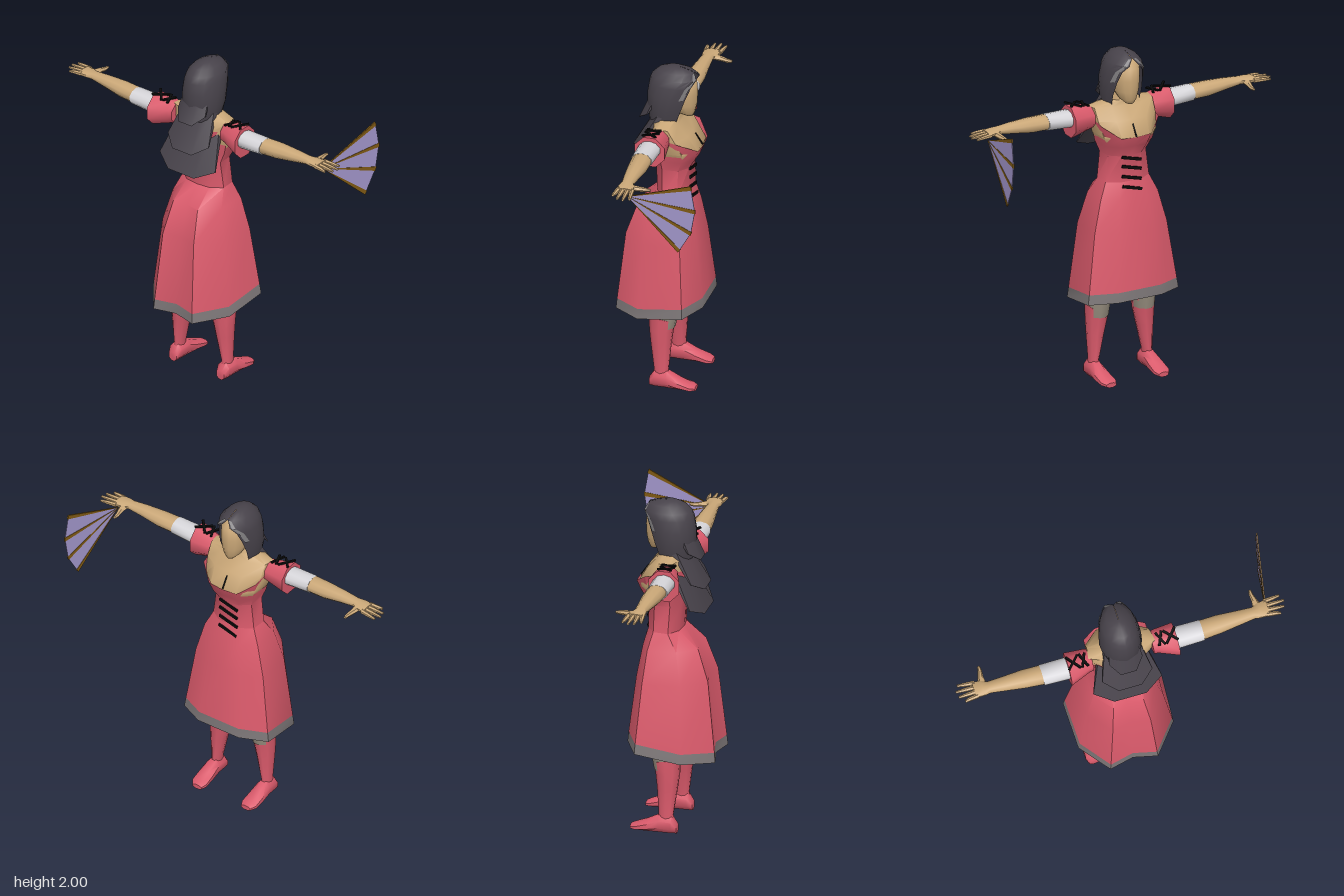
import * as THREE from 'three';
import { toCreasedNormals } from 'three/addons/utils/BufferGeometryUtils.js';

const mat = (name, color, side = THREE.FrontSide) =>
  Object.assign(new THREE.MeshStandardMaterial({ color, side }), { name });

// Skin a list of point rings; points run anticlockwise about the growth axis
function loft(rings, closed = true, crease = 0.8) {
  const n = rings[0].length, idx = [];
  for (let i = 0; i < rings.length - 1; i++)
    for (let j = 0; j < (closed ? n : n - 1); j++) {
      const k = (j + 1) % n, a = i * n + j, b = i * n + k;
      idx.push(a, b, b + n, a, b + n, a + n);
    }
  const g = new THREE.BufferGeometry();
  g.setAttribute('position', new THREE.Float32BufferAttribute(rings.flat(2), 3));
  g.setIndex(idx);
  g.computeVertexNormals();
  return toCreasedNormals(g, crease);
}

// Elliptical limb along an axis; section = [t, centreU, centreV, radiusU, radiusV]
function limb(axis, sections, sides = 10, crease = 0.9) {
  const first = sections[0], last = sections[sections.length - 1];
  const all = [[...first.slice(0, 3), 0, 0], ...sections, [...last.slice(0, 3), 0, 0]];
  return loft(all.map(([t, cu, cv, ru, rv]) => Array.from({ length: sides }, (_, j) => {
    const a = ((j + 0.5) / sides) * Math.PI * 2, k = 1 / Math.cos(Math.PI / sides);
    const u = cu + ru * k * Math.cos(a), s = rv * k * Math.sin(a);
    return axis === 'y' ? [u, t, cv - s] : axis === 'z' ? [u, cv + s, t] : [t, u, cv + s];
  })), true, crease);
}

// Reflected copy across the z = 0 plane
function mirrorZ(geo) {
  const g = geo.index ? geo.toNonIndexed() : geo.clone();
  for (const attr of [g.attributes.position, g.attributes.normal])
    for (let i = 0; i < attr.count; i += 3) {
      const v = [0, 2, 1].map(k => [attr.getX(i + k), attr.getY(i + k), -attr.getZ(i + k)]);
      v.forEach((p, k) => attr.setXYZ(i + k, ...p));
    }
  return g;
}

// Body outlines for one half, from front to back
const SKIRT = [[1, 0], [1, 0.48], [0.69, 1], [-0.35, 0.96], [-1, 0.48], [-0.88, 0]];
const BODICE = [[1, 0], [0.97, 0.5], [0.5, 0.95], [-0.4, 1], [-0.9, 0.55], [-1, 0]];
function outline(shape, y, back, front, rz, lift = () => 0) {
  const c = (front + back) / 2, r = (front - back) / 2;
  const pts = shape.map(([u, v]) => [c + u * r, -v * rz]);
  for (let i = 4; i > 0; i--) pts.push([pts[i][0], -pts[i][1]]);
  return pts.map(([x, z], i) => [x, y + lift(x, i > 5 ? 10 - i : i), z]);
}

export function createModel() {
  const model = new THREE.Group();
  model.name = 'dancer';
  const skin = mat('skin', 0xcba878), red = mat('red cloth', 0xda5a6b, THREE.DoubleSide);
  const grey = mat('hem grey', 0x7c7677, THREE.DoubleSide), stocking = mat('stocking', 0x968d7e);
  const white = mat('white cloth', 0xd6d5d9), black = mat('black lace', 0x0a0a0a);
  const hair = mat('dark hair', 0x47424a, THREE.DoubleSide), streak = mat('grey streak', 0x807e80, THREE.DoubleSide);
  const lilac = mat('lilac fan', 0xa397cc, THREE.DoubleSide), brown = mat('brown sticks', 0x805a14, THREE.DoubleSide);

  const add = (name, geo, material) => {
    const m = new THREE.Mesh(geo, material);
    m.name = name;
    model.add(m);
    return m;
  };
  const pair = (name, geo, material) => {
    add('right' + name, geo, material);
    add('left' + name, mirrorZ(geo), material);
  };

  // Skirt with a sloping hem, lower at the back
  const slope = x => 0.155 * (x - 0.16);
  const hemTop = outline(SKIRT, 0.585, -0.355, 0.155, 0.288, slope);
  add('hem', loft([outline(SKIRT, 0.525, -0.36, 0.16, 0.297, slope), hemTop]), grey);
  add('skirt', loft([hemTop,
    outline(SKIRT, 0.93, -0.31, 0.115, 0.237),
    outline(SKIRT, 1.12, -0.245, 0.082, 0.188),
    outline(BODICE, 1.22, -0.14, 0.057, 0.15)]), red);

  // Bodice with a scooped neckline
  const neckline = [0, 0.005, 0.07, 0.1, 0.1, 0.1];
  add('bodice', loft([
    outline(BODICE, 1.22, -0.14, 0.057, 0.15),
    outline(BODICE, 1.38, -0.15, 0.057, 0.13),
    outline(BODICE, 1.45, -0.17, 0.1, 0.16),
    outline(BODICE, 1.51, -0.185, 0.122, 0.195, (x, i) => neckline[i])]), red);

  // Shoulders, neck and face
  add('chest', loft([
    outline(BODICE, 1.48, -0.165, 0.108, 0.165),
    outline(BODICE, 1.51, -0.17, 0.114, 0.18),
    outline(BODICE, 1.6, -0.17, 0.06, 0.197),
    outline(BODICE, 1.67, -0.15, 0.0, 0.2),
    outline(BODICE, 1.7, -0.12, -0.01, 0.07),
    outline(BODICE, 1.78, -0.1, 0.0, 0.045)], true, 1), skin);
  add('head', limb('y', [
    [1.695, 0.035, 0, 0.025, 0.022], [1.72, 0.01, 0, 0.06, 0.048],
    [1.77, -0.02, 0, 0.1, 0.07], [1.84, -0.025, 0, 0.108, 0.08],
    [1.91, -0.03, 0, 0.108, 0.08], [1.95, -0.04, 0, 0.08, 0.06]], 14, 1.2), skin);

  // Hair shell: [y, back, front, half width, face opening angle]
  const locks = [[1.66, -0.2, 0.03, 0.105, 1.0], [1.75, -0.21, 0.055, 0.124, 0.85],
    [1.83, -0.21, 0.075, 0.122, 0.75], [1.9, -0.2, 0.09, 0.113, 0.6], [1.94, -0.185, 0.095, 0.1, 0.3],
    [1.975, -0.15, 0.065, 0.07, 0.01], [1.995, -0.1, 0.0, 0.035, 0.01], [2.0, -0.05, -0.05, 0, 0.01]];
  const lockPoint = ([y, b, f, rz], a, off) =>
    [(b + f) / 2 + ((f - b) / 2 + off) * Math.cos(a), y, -(rz + off) * Math.sin(a)];
  add('hair', loft(locks.map(l => Array.from({ length: 15 }, (_, j) =>
    lockPoint(l, l[4] + (j / 14) * (Math.PI * 2 - 2 * l[4]), 0))), false), hair);
  pair('HairStreak', loft(locks.slice(2, 6).map((l, i) =>
    [0, 1, 2].map(j => lockPoint(l, -(l[4] + 0.12 + (2 - j) * 0.1), 0.005))), false), streak);

  // Layered wedges of hair down the back: [topX, topY, tipX, tipY, topHalf, tipHalf]
  for (const [tx, ty, bx, by, th, bh] of [[-0.18, 1.82, -0.25, 1.66, 0.08, 0.1],
    [-0.16, 1.7, -0.28, 1.49, 0.1, 0.15], [-0.15, 1.62, -0.287, 1.35, 0.13, 0.205]]) {
    const g = new THREE.BoxGeometry(1, 1, 1, 1, 1, 3), p = g.attributes.position;
    for (let i = 0; i < p.count; i++) {
      const top = p.getY(i) > 0, w = p.getZ(i) * 2, edge = Math.abs(w) > 0.9;
      const thick = p.getX(i) > 0 ? (top ? 0.04 : 0.006) : 0;
      p.setXYZ(i, (top ? tx : bx) + thick + (edge ? 0.06 : 0),
        (top ? ty : by) + (edge ? 0.05 : 0), (edge ? w : w * 1.4) * (top ? th : bh));
    }
    g.computeVertexNormals();
    add('backHair', g, hair);
  }

  // Arms: puffed sleeve, white sleeve, forearm and palm
  pair('PuffSleeve', limb('z', [[0.18, -0.09, 1.605, 0.06, 0.06], [0.21, -0.09, 1.605, 0.065, 0.068],
    [0.325, -0.105, 1.593, 0.09, 0.092]], 8), red);
  pair('WhiteSleeve', limb('z', [[0.3, -0.105, 1.612, 0.063, 0.05], [0.48, -0.105, 1.618, 0.06, 0.046]]), white);
  pair('Forearm', limb('z', [[0.47, -0.105, 1.62, 0.056, 0.043], [0.58, -0.1, 1.623, 0.053, 0.043],
    [0.7, -0.098, 1.63, 0.042, 0.032], [0.79, -0.095, 1.633, 0.034, 0.022],
    [0.83, -0.09, 1.633, 0.045, 0.02], [0.88, -0.086, 1.632, 0.05, 0.015]]), skin);
  [0.945, 0.975, 0.983, 0.965].forEach((tip, i) => {
    const x = -0.126 + i * 0.027, fan = (i - 1.5) * 0.004;
    pair('Finger', limb('z', [[0.865, x, 1.632, 0.0125, 0.012], [0.92, x + fan, 1.63, 0.011, 0.01],
      [tip, x + fan * 2, 1.627, 0.007, 0.006]], 6), skin);
  });
  pair('Thumb', limb('x', [[-0.075, 1.628, 0.825, 0.014, 0.025], [-0.02, 1.624, 0.82, 0.013, 0.015],
    [0.02, 1.62, 0.812, 0.011, 0.011], [0.048, 1.62, 0.812, 0.007, 0.007]], 6), skin);

  // Crossed laces on top of the puffed sleeves
  for (const [z, dx, dz, y] of [[0.292, 0.04, 0.036, 1.685], [0.23, 0.042, 0.018, 1.678]])
    for (const s of [-1, 1]) {
      const g = new THREE.BoxGeometry(2 * Math.hypot(dx, dz), 0.009, 0.014);
      g.rotateY(s * Math.atan2(dz, dx)).rotateX(-0.18).translate(-0.108, y + 0.006, z);
      pair('SleeveLace', g, black);
    }

  // Slanted laces on the bodice and the line above the neckline
  [[1.358, 0.059], [1.302, 0.06], [1.24, 0.06], [1.18, 0.068]].forEach(([y, x]) => {
    const lace = add('bodiceLace', new THREE.BoxGeometry(0.009, 0.017, 0.13), black);
    lace.position.set(x, y, 0);
    lace.rotation.x = -0.27;
  });
  const line = add('chestLine', new THREE.BoxGeometry(0.008, 0.08, 0.007), black);
  line.position.set(0.095, 1.545, 0);
  line.rotation.z = 0.6;

  // Legs: stocking, sock and shoe
  pair('Stocking', limb('y', [[0.38, -0.075, 0.15, 0.07, 0.058], [0.53, -0.063, 0.148, 0.083, 0.07],
    [0.75, -0.06, 0.13, 0.09, 0.08]]), stocking);
  const sock = limb('y', [[0.06, -0.08, 0.178, 0.045, 0.028], [0.11, -0.078, 0.175, 0.042, 0.027],
    [0.27, -0.083, 0.162, 0.058, 0.048], [0.36, -0.083, 0.154, 0.068, 0.06], [0.45, -0.078, 0.15, 0.078, 0.066]]);
  const sp = sock.attributes.position;
  for (let i = 0; i < sp.count; i++) if (sp.getY(i) > 0.44) sp.setY(i, 0.45 - (sp.getX(i) + 0.078) * 0.25);
  pair('Sock', sock, red);
  pair('Shoe', limb('x', [[-0.145, 0.028, 0.176, 0.028, 0.028], [-0.115, 0.05, 0.177, 0.05, 0.042],
    [-0.04, 0.052, 0.177, 0.052, 0.042], [0.03, 0.034, 0.177, 0.034, 0.047],
    [0.1, 0.02, 0.175, 0.02, 0.048], [0.13, 0.014, 0.172, 0.014, 0.032]], 8), red);

  // Hand fan: three panels between four widening sticks
  const fan = new THREE.Group();
  fan.name = 'fan';
  fan.position.set(-0.07, 1.595, 0.872);
  fan.rotation.y = -0.165;
  model.add(fan);
  const wedge = (name, a0, a1, radius, z, material) => {
    const s = new THREE.Shape([[0, 0], [radius, a0], [radius, a1]].map(([r, a]) =>
      new THREE.Vector2(r * Math.cos(a), r * Math.sin(a))));
    const g = new THREE.ExtrudeGeometry(s, { depth: z, bevelEnabled: false }).translate(0, 0, -z / 2);
    const m = new THREE.Mesh(g, material);
    m.name = name;
    fan.add(m);
  };
  const step = 0.35, start = 0.35;
  for (let i = 0; i < 4; i++) {
    const a = start - i * step;
    wedge('fanStick', a - 0.03, a + 0.03, 0.432, 0.008, brown);
    if (i < 3) wedge('fanPanel', a - step, a, 0.43, 0.004, lilac);
  }
  return model;
}
